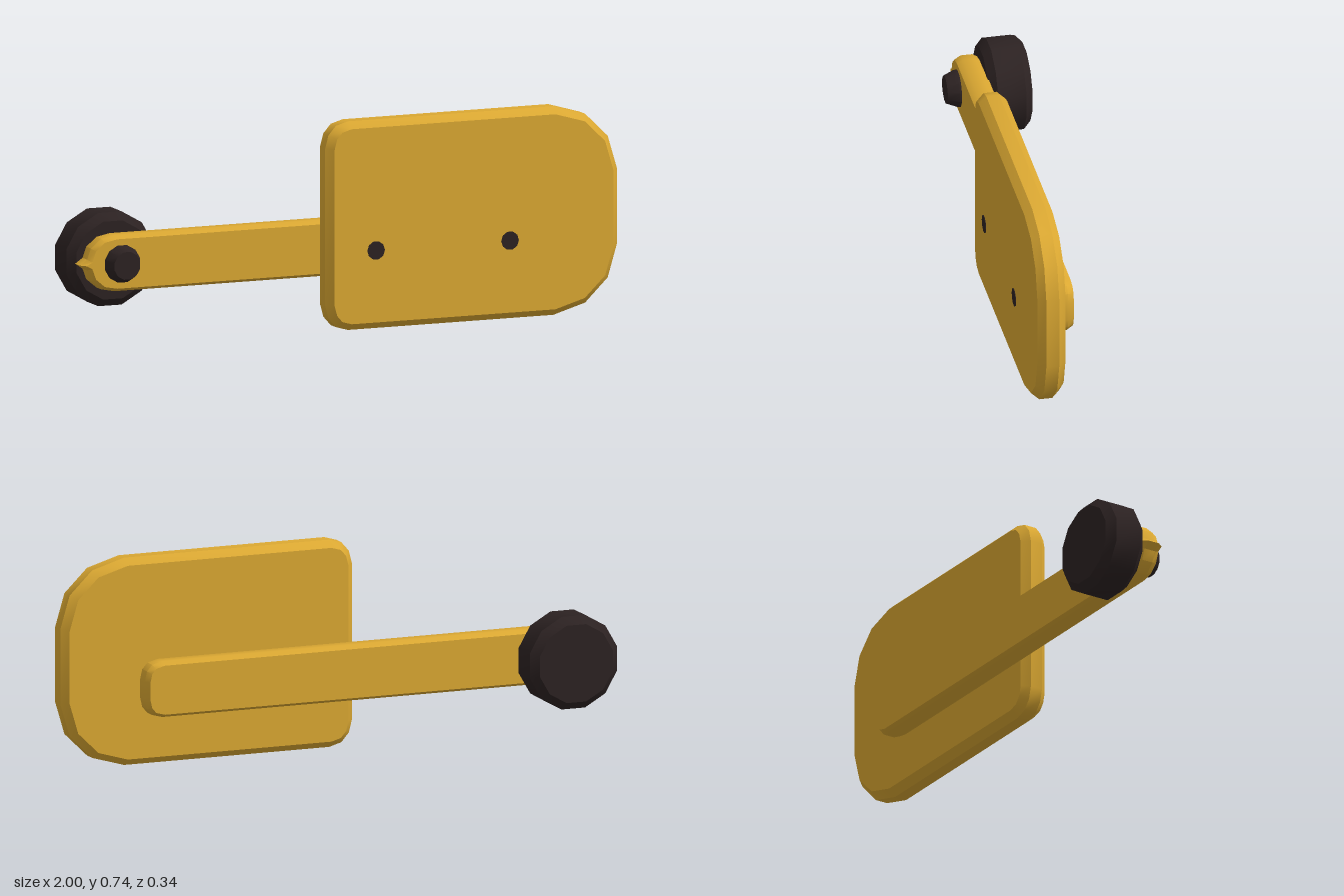
import * as THREE from 'three';
import { toCreasedNormals } from 'three/addons/utils/BufferGeometryUtils.js';

const yellow = new THREE.MeshStandardMaterial({ name: 'yellow paint', color: 0xdba832 });
const dark = new THREE.MeshStandardMaterial({ name: 'dark rubber', color: 0x2c2222 });
const AXIS_Y = 0.278;

// Bevelled slab from an outer outline, spanning z0..z1
function slab(points, z0, z1, bevelXY, bevelZ) {
  const shape = new THREE.Shape(points.map(([x, y]) => new THREE.Vector2(x, y)));
  const geo = new THREE.ExtrudeGeometry(shape, {
    depth: z1 - z0 - 2 * bevelZ, bevelEnabled: true, bevelSegments: 1,
    bevelSize: bevelXY, bevelThickness: bevelZ, bevelOffset: -bevelXY,
  });
  geo.translate(0, 0, z0 + bevelZ);
  return toCreasedNormals(geo, 0.6);
}

// Turned part along z from [radius, z] pairs, back to front
function turned(profile, x, sides = 12) {
  const geo = new THREE.LatheGeometry(
    profile.map(([r, z]) => new THREE.Vector2(r, z)), sides, Math.PI / sides);
  geo.rotateX(Math.PI / 2).translate(x, AXIS_Y, 0);
  return toCreasedNormals(geo, 0.6);
}

// Closes the lower half of an outline by mirroring its upper half about cy
function mirrorY(upper, cy) {
  const lower = upper.filter(([, y]) => y !== cy).map(([x, y]) => [x, 2 * cy - y]).reverse();
  return [...upper, ...lower].reverse();
}

export function createModel() {
  const group = new THREE.Group();
  const add = (name, geo, mat) => {
    const mesh = new THREE.Mesh(geo, mat);
    mesh.name = name;
    group.add(mesh);
  };

  // Broad pedal plate with larger corners at its outer end
  const plate = mirrorY([
    [-0.1, 0.645], [-0.088, 0.69], [-0.06, 0.722], [-0.015, 0.735],
    [0.76, 0.735], [0.88, 0.7], [0.965, 0.617], [1, 0.5],
  ], 0.3675);
  add('pedalPlate', slab(plate, 0.068, 0.168, 0.024, 0.027), yellow);

  // Arm with a rounded, ridged wheel end
  const arm = mirrorY([
    [-0.985, AXIS_Y], [-0.957, 0.297], [-0.943, 0.335], [-0.905, 0.367], [-0.855, 0.377],
    [0.655, 0.377], [0.692, 0.367], [0.712, 0.345], [0.72, 0.31],
  ], AXIS_Y);
  add('arm', slab(arm, -0.018, 0.068, 0.012, 0.022), yellow);

  // Spacer between arm and wheel
  add('spacer', turned([[0, -0.038], [0.095, -0.038], [0.095, 0], [0, 0]], -0.78), yellow);

  // Chamfered wheel and its tapered bolt
  add('wheel', turned([[0, -0.167], [0.142, -0.167], [0.17, -0.14],
    [0.17, -0.04], [0.142, -0.013], [0, -0.013]], -0.835), dark);
  add('bolt', turned([[0, 0.05], [0.067, 0.05], [0.067, 0.075],
    [0.05, 0.115], [0, 0.115]], -0.835), dark);

  // Flush screws in the plate
  for (const x of [0.08, 0.585]) {
    add('screw', turned([[0, 0.164], [0.033, 0.164], [0.033, 0.17], [0, 0.17]], x, 10), dark);
  }
  return group;
}
